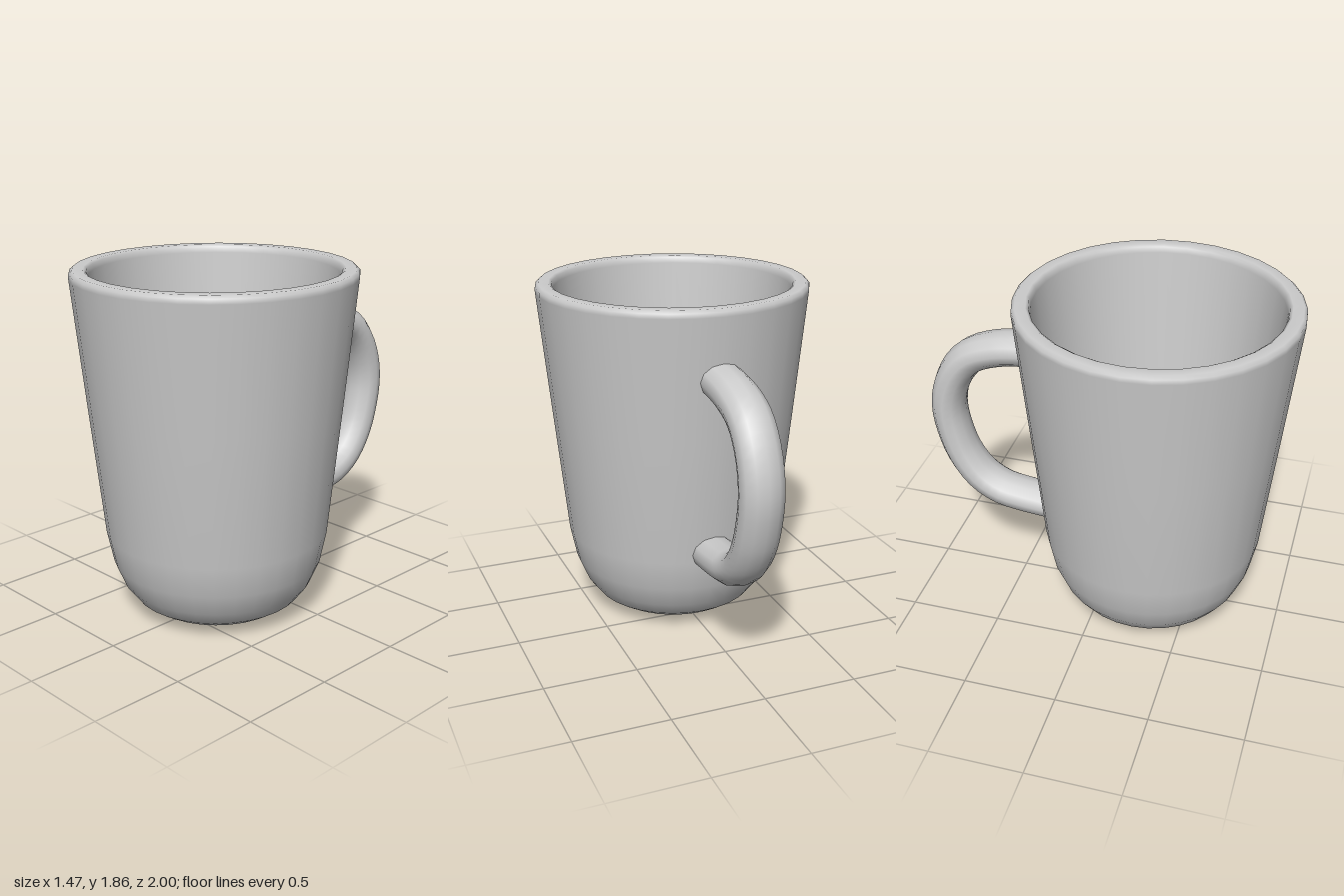
import * as THREE from 'three';

const CUP_Z = 0.265;

export function createModel() {
  const group = new THREE.Group();
  const material = new THREE.MeshStandardMaterial({ color: 0xcccccc });

  // Hollow cup: up the outside, over the rim, down the inside
  const profile = [
    [0, 0], [0.16, 0.002], [0.29, 0.02], [0.38, 0.045], [0.45, 0.09], [0.51, 0.17],
    [0.56, 0.29], [0.595, 0.46], [0.665, 1.14], [0.733, 1.82],
    [0.732, 1.845], [0.715, 1.86], [0.66, 1.86], [0.645, 1.85], [0.639, 1.82],
    [0.575, 1.14], [0.51, 0.5], [0.48, 0.34], [0.43, 0.22], [0.35, 0.14], [0.25, 0.11], [0, 0.1],
  ].map(([r, y]) => new THREE.Vector2(r, y));
  const cup = new THREE.Mesh(new THREE.LatheGeometry(profile, 32), material);
  cup.name = 'cup';
  cup.position.z = CUP_Z;
  group.add(cup);

  // Handle: oval tube whose ends are buried in the cup wall
  const path = new THREE.CatmullRomCurve3([
    [1.49, -0.39], [1.458, -0.6], [1.395, -0.75], [1.3, -0.835], [1.18, -0.887], [1.06, -0.905],
    [0.93, -0.89], [0.76, -0.835], [0.625, -0.74], [0.55, -0.62], [0.525, -0.5], [0.505, -0.295],
  ].map(([y, z]) => new THREE.Vector3(0, y, z)));
  const tube = new THREE.TubeGeometry(path, 32, 0.095, 12);
  tube.scale(1.24, 1, 1);
  const handle = new THREE.Mesh(tube, material);
  handle.name = 'handle';
  group.add(handle);

  return group;
}
